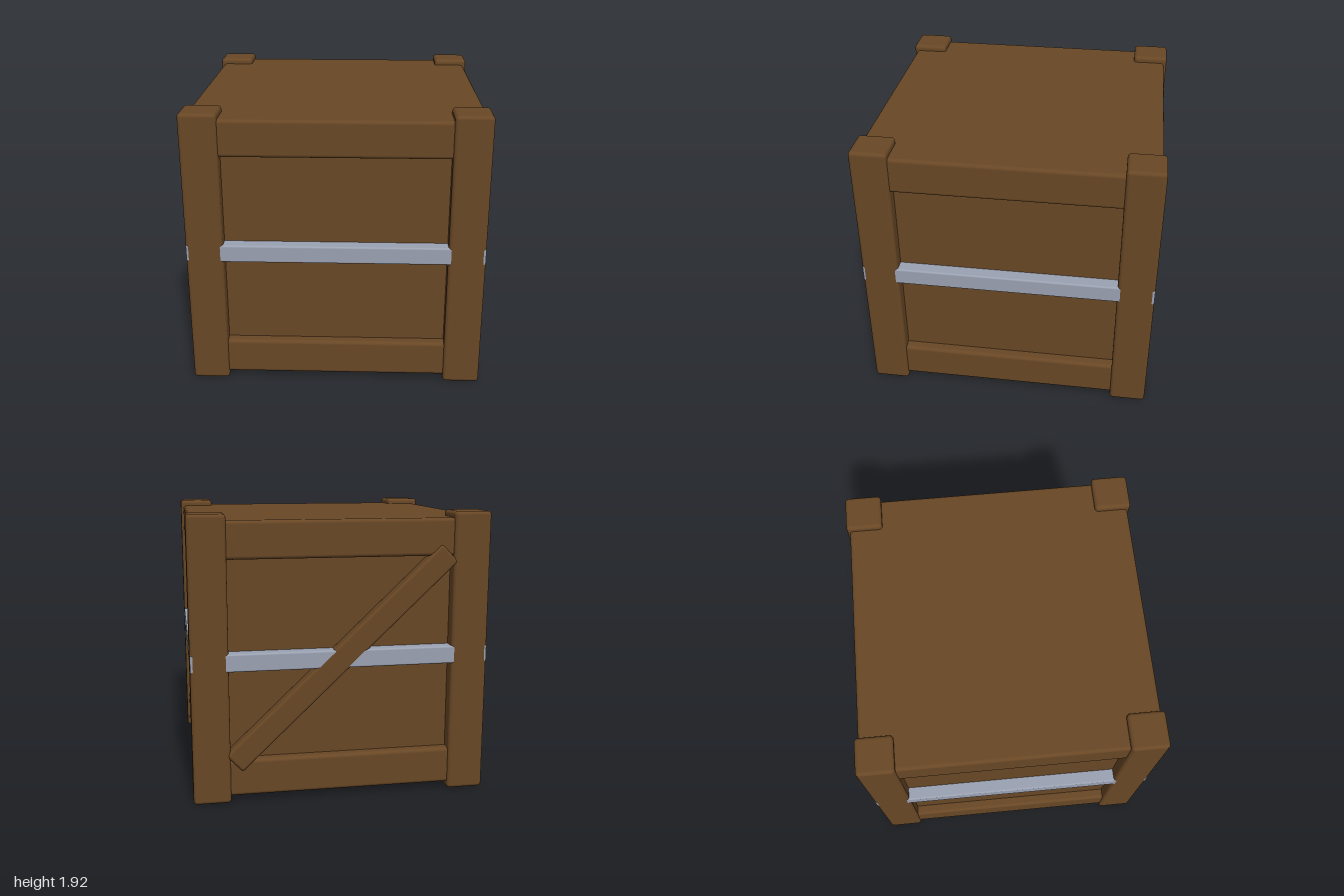
import * as THREE from 'three';
import { RoundedBoxGeometry } from 'three/addons/geometries/RoundedBoxGeometry.js';

export function createModel() {
  const crate = new THREE.Group();
  crate.name = 'crate';

  const wood = new THREE.MeshStandardMaterial({ color: 0x684725 });
  wood.name = 'brown wood';
  const steel = new THREE.MeshStandardMaterial({ color: 0x9aa1b1 });
  steel.name = 'grey steel';

  function block(name, material, size, position, radius) {
    const mesh = new THREE.Mesh(new RoundedBoxGeometry(...size, 3, radius), material);
    mesh.name = name;
    mesh.position.set(...position);
    crate.add(mesh);
    return mesh;
  }

  // Recessed walls
  block('body', wood, [1.82, 1.7, 1.82], [0, 0.96, 0], 0.02);

  // Thick base and lid, forming the rails on every side
  block('base', wood, [1.96, 0.25, 1.96], [0, 0.167, 0], 0.025);
  block('lid', wood, [1.96, 0.25, 1.96], [0, 1.753, 0], 0.025);

  // Corner posts
  for (const x of [-1, 1]) {
    for (const z of [-1, 1]) {
      block('cornerPost', wood, [0.25, 1.92, 0.25], [x * 0.875, 0.96, z * 0.875], 0.025);
    }
  }

  // Metal band around the middle, just behind the post faces
  block('metalBand', steel, [1.998, 0.12, 1.998], [0, 0.96, 0], 0.012);

  // Diagonal brace across the back
  const brace = block('backBrace', wood, [2, 0.16, 0.1], [0, 0.96, -0.9505], 0.02);
  brace.rotation.z = -THREE.MathUtils.degToRad(43.5);

  return crate;
}
